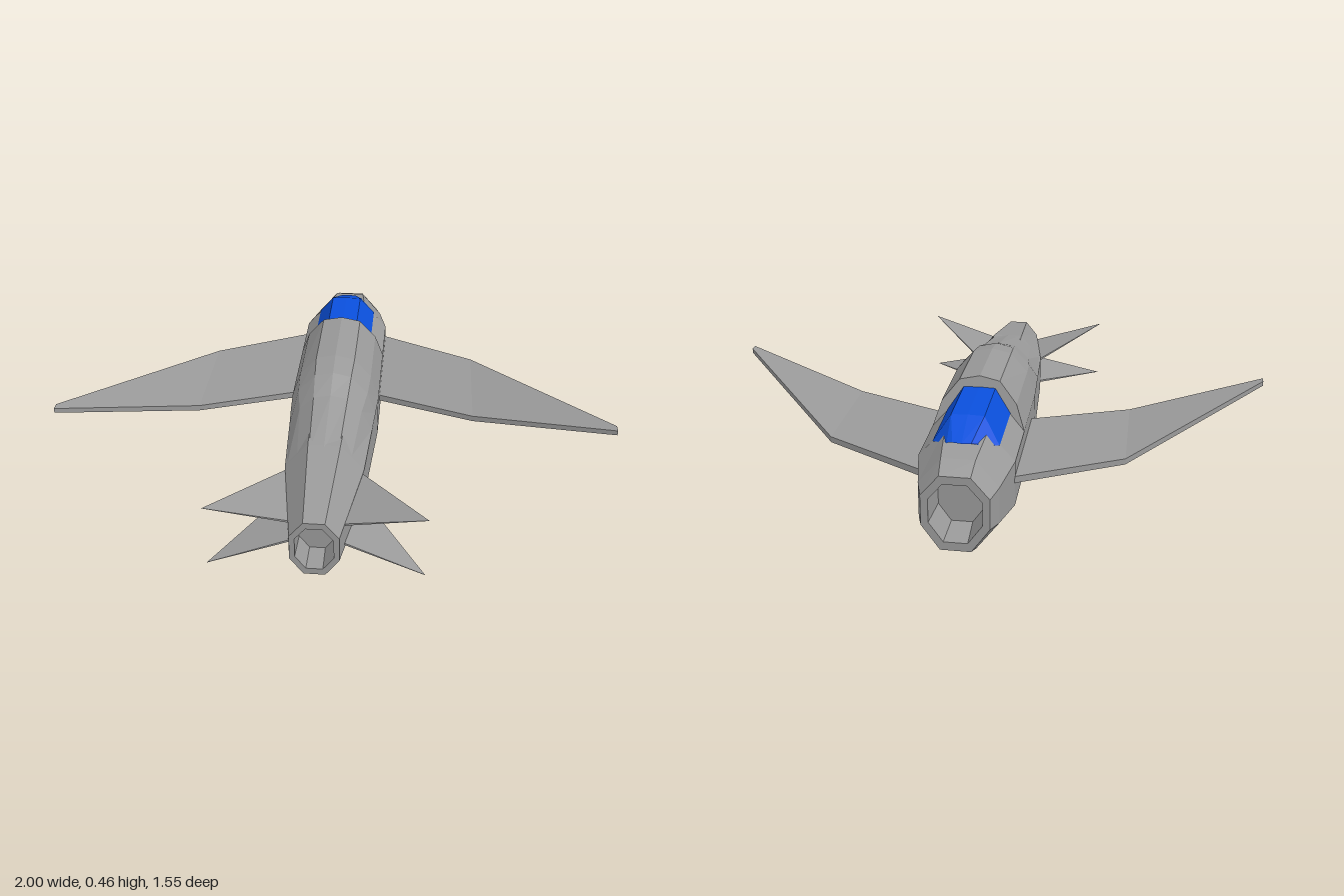
import * as THREE from 'three';

const grey = new THREE.MeshStandardMaterial({ color: 0x9a9a9a, flatShading: true, side: THREE.DoubleSide });
const blue = new THREE.MeshStandardMaterial({ color: 0x0a50dd, flatShading: true, side: THREE.DoubleSide });

// Skin between successive rings; rings run counterclockwise seen from the far end
function loft(rings, closed = true) {
  const pts = [];
  const n = rings[0].length;
  for (let i = 0; i < rings.length - 1; i++) {
    for (let j = 0; j < (closed ? n : n - 1); j++) {
      const k = (j + 1) % n;
      const a = rings[i][j], b = rings[i][k], c = rings[i + 1][k], d = rings[i + 1][j];
      pts.push(a, b, c, a, c, d);
    }
  }
  const g = new THREE.BufferGeometry();
  g.setAttribute('position', new THREE.Float32BufferAttribute(pts.flat(), 3));
  g.computeVertexNormals();
  return g;
}

// All corners of a ring pulled towards its middle, optionally shifted along z
function shrink(ring, s, dz = 0) {
  const mid = [0, 1, 2].map(a => ring.reduce((t, p) => t + p[a], 0) / ring.length);
  return ring.map(p => [mid[0] + (p[0] - mid[0]) * s, mid[1] + (p[1] - mid[1]) * s, p[2] + dz]);
}

// Half profile from the +x side up to the middle, mirrored to the -x side
function arch(half) {
  const other = half.filter(p => p[0] > 0).reverse().map(([x, y, z]) => [-x, y, z]);
  return [...half, ...other];
}

// Flat blade from sections { leading point, trailing point, thickness }, on one side of the body
function blade(sections, side, tilt = 0) {
  const rings = sections.map(({ lead, trail, t }) => {
    const ring = [[lead, 0], [lead, t], [trail, t], [trail, 0]]
      .map(([[x, y, z], up]) => [side * x, y + up + side * x * tilt, z]);
    return side > 0 ? ring : ring.reverse();
  });
  const tip = rings[rings.length - 1];
  const middle = [0, 1, 2].map(a => tip.reduce((sum, p) => sum + p[a], 0) / 4);
  return loft([...rings, tip.map(() => middle)]);
}

export function createModel() {
  const model = new THREE.Group();
  const add = (name, geometry, material = grey) => {
    const mesh = new THREE.Mesh(geometry, material);
    mesh.name = name;
    model.add(mesh);
  };

  // Fuselage: octagonal sections [z, half width, flat half width, bottom, low side, high side, top]
  const rings = [
    [-0.775, 0.11, 0.05, 0.06, 0.145, 0.25, 0.32],
    [-0.71, 0.13, 0.055, 0.035, 0.135, 0.26, 0.35],
    [-0.56, 0.16, 0.07, 0, 0.12, 0.28, 0.38],
    [0, 0.16, 0.07, 0, 0.125, 0.28, 0.38],
    [0.43, 0.135, 0.055, 0.03, 0.135, 0.26, 0.355],
    [0.775, 0.08, 0.035, 0.09, 0.15, 0.24, 0.295],
  ].map(([z, w, f, b, s1, s2, t]) => [
    [w, s1, z], [w, s2, z], [f, t, z], [-f, t, z],
    [-w, s2, z], [-w, s1, z], [-f, b, z], [f, b, z],
  ]);
  const nose = rings[0], tail = rings[rings.length - 1];
  // Rims and recessed openings at both ends
  add('fuselage', loft([
    shrink(nose, 0, 0.12), shrink(nose, 0.7, 0.12), shrink(nose, 0.78),
    ...rings,
    shrink(tail, 0.78), shrink(tail, 0.74, -0.1), shrink(tail, 0, -0.1),
  ]));

  // Raised spine behind the cockpit, with a sloping front face
  const lean = y => -0.325 + (y - 0.28) * 0.22;
  const spineFront = [[0.16, 0.28], [0.13, 0.37], [0.07, 0.445], [0, 0.46]];
  const spine = [
    spineFront.map(([x]) => [x, 0.28, -0.325]),
    spineFront.map(([x, y]) => [x, y, lean(y)]),
    [[0.16, 0.28, 0], [0.13, 0.37, 0], [0.07, 0.44, 0], [0, 0.455, 0]],
    [[0.155, 0.275, 0.1], [0.125, 0.36, 0.1], [0.065, 0.425, 0.1], [0, 0.44, 0.1]],
    [[0.148, 0.271, 0.2], [0.11, 0.345, 0.2], [0.06, 0.395, 0.2], [0, 0.406, 0.2]],
    [[0.13, 0.258, 0.46], [0.09, 0.305, 0.46], [0.05, 0.345, 0.46], [0, 0.349, 0.46]],
  ];
  add('spine', loft(spine.map(arch), false));

  // Cockpit canopy, tapering to the nose
  const canopy = [
    [[0.05, 0.368, -0.637], [0.03, 0.374, -0.645], [0, 0.374, -0.65]],
    [[0.11, 0.338, -0.57], [0.055, 0.42, -0.53], [0, 0.422, -0.53]],
    [[0.11, 0.338, -0.29], [0.055, 0.42, -0.29], [0, 0.422, -0.29]],
  ];
  add('canopy', loft(canopy.map(arch), false), blue);

  // Swept wings: [x, leading z, trailing z, underside y, thickness]
  const wing = [
    [0.13, -0.58, -0.11, 0.205, 0.024],
    [0.51, -0.385, 0.033, 0.214, 0.021],
    [1, 0.19, 0.22, 0.301, 0.018],
  ].map(([x, lead, trail, y, t]) => ({ lead: [x, y, lead], trail: [x, y, trail], t }));

  // Tail fins: thin at the root, running out to a point
  const fin = (lead, trail, point) => [
    { lead, trail, t: 0.008 },
    { lead: point, trail: point, t: 0.001 },
  ];
  const upperFin = fin([0.12, 0.244, 0.43], [0.07, 0.231, 0.7], [0.357, 0.312, 0.75]);
  const lowerFin = fin([0.12, 0.154, 0.43], [0.07, 0.163, 0.7], [0.354, 0.09, 0.75]);

  for (const [label, side] of [['left', 1], ['right', -1]]) {
    add(label + 'Wing', blade(wing, side, 0.01));
    add(label + 'UpperFin', blade(upperFin, side));
    add(label + 'LowerFin', blade(lowerFin, side));
  }
  return model;
}
